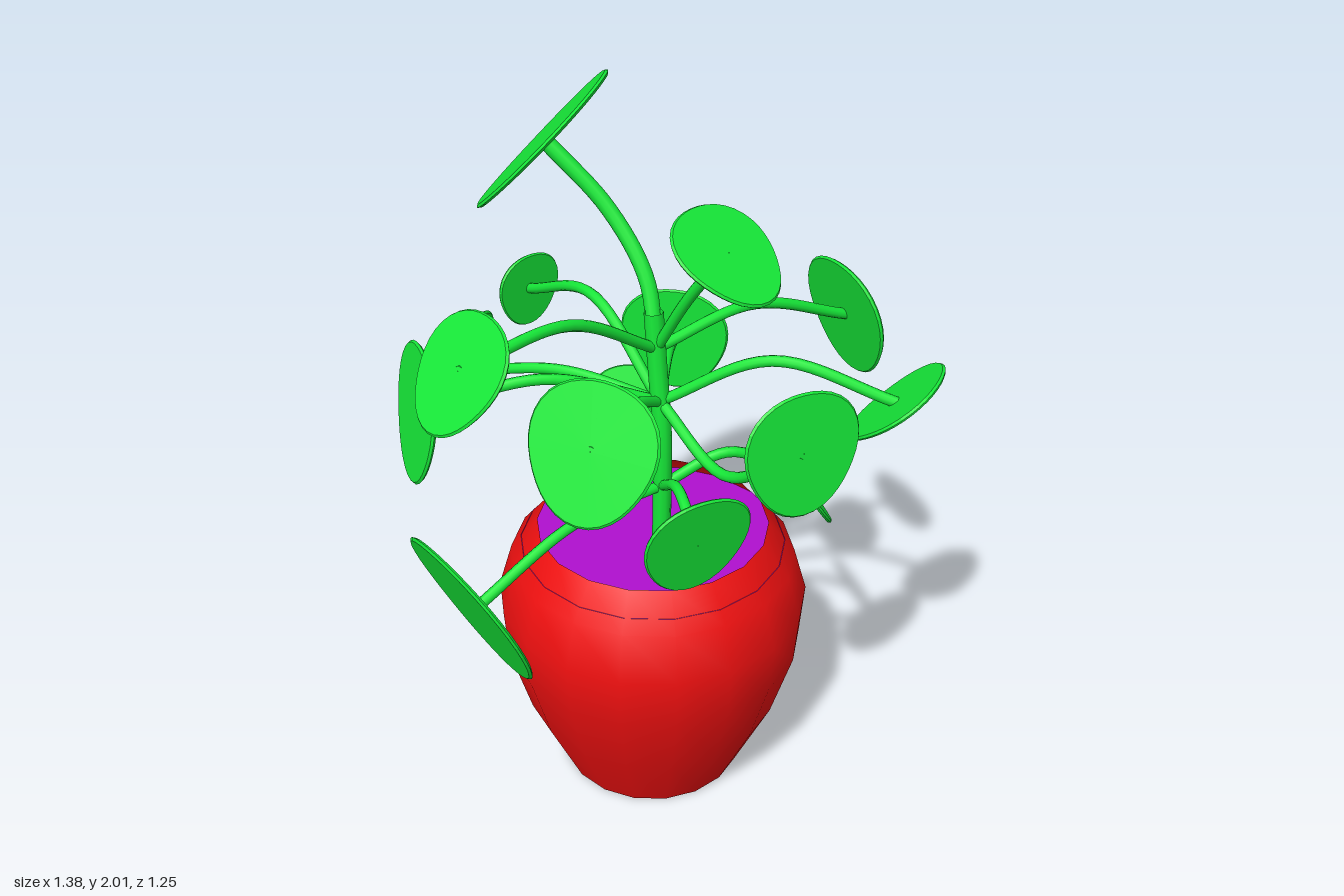
import * as THREE from 'three';

const { degToRad } = THREE.MathUtils;
const mat = (color, side = THREE.DoubleSide) => new THREE.MeshStandardMaterial({ color, side });

// Leaves in tiers by where their stems leave the stalk.
// at: leaf centre, r: radius, pitch: upward tilt, turn: yaw away from straight outward, arch: rise of the stem
const LOW = [
  { at: [0.31, 0.88, -0.48], r: 0.115, pitch: -33, turn: 5, arch: 0.13 },
  { at: [-0.57, 0.795, 0.01], r: 0.24, pitch: -23, turn: 0, arch: 0.06 },
  { at: [-0.1, 0.98, 0.34], r: 0.153, pitch: -11, turn: 12, arch: 0.07 },
  { at: [0.395, 0.905, 0.205], r: 0.147, pitch: 33, turn: 3, arch: 0.1 },
];
const MIDDLE = [
  { at: [0.055, 1.29, -0.61], r: 0.11, pitch: 3, turn: 7, arch: 0.15 },
  { at: [0.03, 1.31, 0.56], r: 0.158, pitch: 7, turn: -11, arch: -0.15 },
  { at: [-0.247, 1.16, -0.515], r: 0.182, pitch: 16, turn: 3, arch: 0.05 },
  { at: [0.265, 1.23, -0.2], r: 0.154, pitch: 2, turn: -5, arch: 0.04 },
  { at: [-0.527, 1.24, -0.275], r: 0.183, pitch: 10, turn: 10, arch: 0.08 },
  { at: [-0.3, 1.25, 0.17], r: 0.183, pitch: 25, turn: 0, arch: 0.05 },
  { at: [0.418, 1.28, 0.5], r: 0.149, pitch: -48, turn: -7, arch: 0.12 },
];
const HIGH = [
  { at: [0.06, 1.695, 0.24], r: 0.148, pitch: 55, turn: 5, arch: 0.02 },
  { at: [-0.593, 1.53, 0.075], r: 0.15, pitch: 37, turn: -5, arch: 0.09 },
  { at: [0.635, 1.305, 0.1], r: 0.175, pitch: 13, turn: -2, arch: 0.08 },
];
const CROWN = { at: [-0.065, 1.845, -0.33], r: 0.236, pitch: 44, turn: 24 };

// The stalk leans slightly back towards its top
const stalkPoint = (y) => new THREE.Vector3(0.04, y, 0.025 - 0.11 * Math.max(0, y - 1.1));

// Thin rounded-triangle disc with a bevelled rim
function leafGeometry(r) {
  const t = 0.006;
  const profile = [[0.001, -t], [r * 0.97, -t], [r, 0], [r * 0.97, t], [0.001, t]];
  const g = new THREE.LatheGeometry(profile.map(([x, y]) => new THREE.Vector2(x, y)), 36).toNonIndexed();
  const p = g.attributes.position;
  for (let i = 0; i < p.count; i++) {
    const a = Math.atan2(p.getX(i), p.getZ(i));
    const k = 1 + 0.045 * Math.cos(3 * a) + 0.015 * Math.cos(2 * a);
    p.setXYZ(i, p.getX(i) * k, p.getY(i), p.getZ(i) * k);
  }
  g.computeVertexNormals();
  return g;
}

// Leaf faces outward from the stalk; its tip hangs downhill
function makeLeaf({ at: [x, y, z], r, pitch, turn }, material) {
  const yaw = Math.atan2(x - 0.04, z - 0.02) + degToRad(turn);
  const leaf = new THREE.Mesh(leafGeometry(r), material);
  leaf.rotation.set(Math.PI / 2 - degToRad(pitch), yaw, 0, 'YXZ');
  leaf.position.set(x, y, z);
  leaf.name = 'leaf';
  return leaf;
}

function makeStem(points, radius, name, material) {
  const curve = new THREE.CatmullRomCurve3(points);
  const stem = new THREE.Mesh(new THREE.TubeGeometry(curve, 20, radius, 10), material);
  stem.name = name;
  return stem;
}

function makePot() {
  const pot = new THREE.Group();
  pot.name = 'pot';
  const add = (geometry, material, name) => {
    const mesh = new THREE.Mesh(geometry, material);
    mesh.name = name;
    pot.add(mesh);
  };
  // 18-sided turned wall, flat base, and soil just below the rim
  const red = mat(0xee1010);
  const profile = [[0.268, 0], [0.37, 0.23], [0.429, 0.44], [0.439, 0.59], [0.4, 0.72], [0.323, 0.812]];
  const half = Math.PI / 18;
  add(new THREE.LatheGeometry(profile.map(([x, y]) => new THREE.Vector2(x, y)), 18, half), red, 'potWall');
  add(new THREE.CircleGeometry(0.268, 18, 8 * half).rotateX(Math.PI / 2), red, 'potBase');
  add(new THREE.CircleGeometry(0.372, 18, 8 * half).rotateX(-Math.PI / 2).translate(0, 0.755, 0), mat(0xb010d0), 'soil');
  pot.position.x = 0.029;
  return pot;
}

export function createModel() {
  const model = new THREE.Group();
  model.add(makePot());

  // Upright stalk, and the crown stem that carries the top leaf
  const green = mat(0x16e838);
  const plant = new THREE.Group();
  plant.name = 'plant';
  plant.add(makeStem([0.74, 1.1, 1.3, 1.45].map(stalkPoint), 0.026, 'stalk', green));
  const crownPath = [
    stalkPoint(1.36),
    new THREE.Vector3(0.06, 1.52, -0.07),
    new THREE.Vector3(0.03, 1.68, -0.19),
    new THREE.Vector3(...CROWN.at),
  ];
  plant.add(makeStem(crownPath, 0.021, 'crownStem', green), makeLeaf(CROWN, green));

  // Arching side stems with their leaves
  for (const [height, leaves] of [[0.94, LOW], [1.2, MIDDLE], [1.35, HIGH]]) {
    for (const leaf of leaves) {
      const start = stalkPoint(height);
      const end = new THREE.Vector3(...leaf.at);
      const middle = start.clone().lerp(end, 0.48);
      middle.y += leaf.arch;
      plant.add(makeStem([start, middle, end], 0.015, 'leafStem', green), makeLeaf(leaf, green));
    }
  }
  model.add(plant);
  return model;
}
